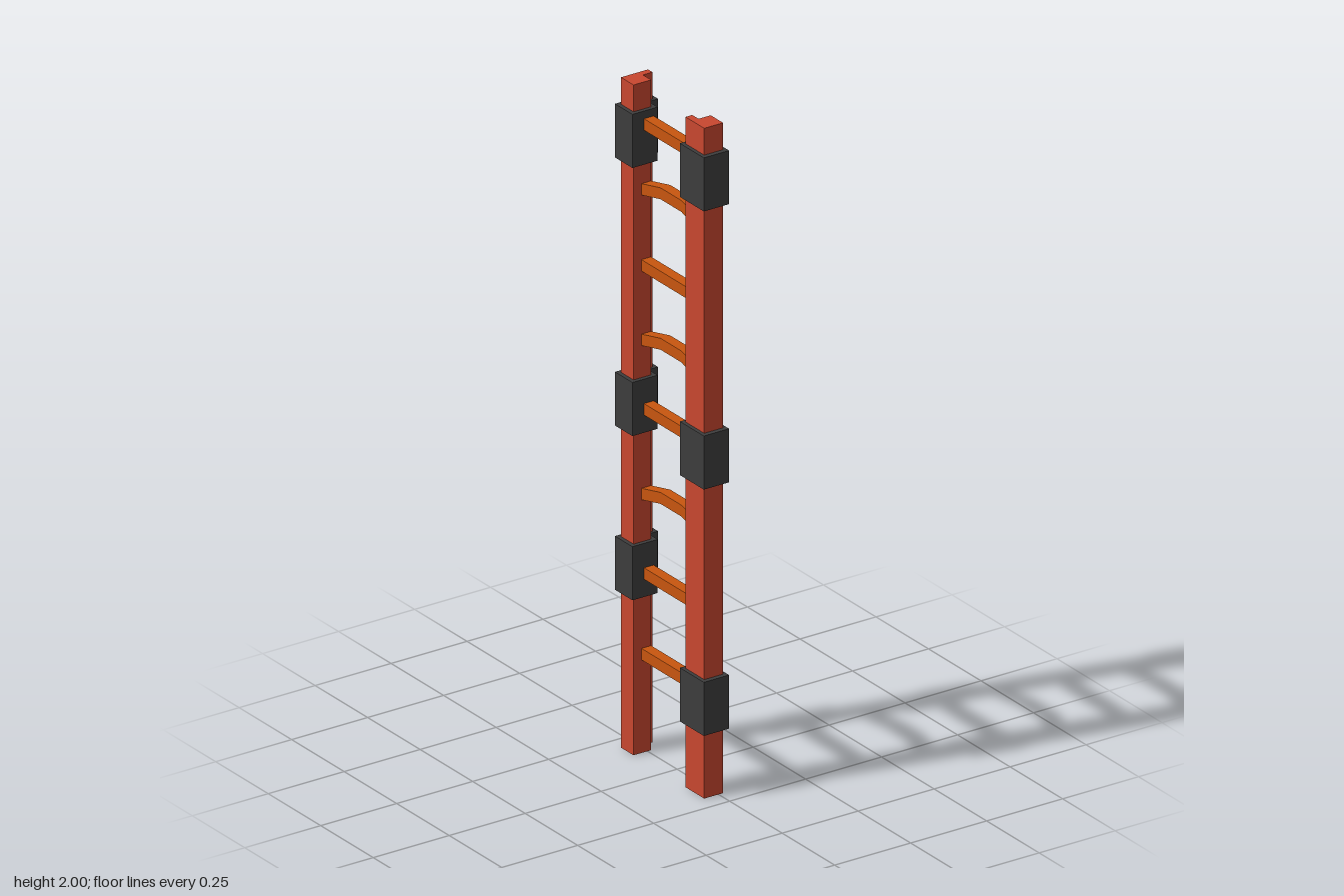
import * as THREE from 'three';

const red = new THREE.MeshStandardMaterial({ color: 0xc8472f });
const orange = new THREE.MeshStandardMaterial({ color: 0xc8560f });
const dark = new THREE.MeshStandardMaterial({ color: 0x3d3d3d });

const shapeOf = (points) => new THREE.Shape(points.map(([a, b]) => new THREE.Vector2(a, b)));

// Upright prism from an [x, z] outline, between two heights
function upright(name, outline, y0, y1, material) {
  const shape = shapeOf(outline.map(([x, z]) => [x, -z]));
  const geo = new THREE.ExtrudeGeometry(shape, { depth: y1 - y0, bevelEnabled: false });
  geo.rotateX(-Math.PI / 2).translate(0, y0, 0);
  const mesh = new THREE.Mesh(geo, material);
  mesh.name = name;
  return mesh;
}

// Square bar along z; its two middle points stand higher by rise
function rung(name, y, rise) {
  const h = 0.017;
  const line = [[-0.16, y], [-0.05, y + rise], [0.05, y + rise], [0.143, y]];
  const outline = [
    ...line.map(([z, c]) => [z, c - h]),
    ...line.map(([z, c]) => [z, c + h]).reverse(),
  ];
  const geo = new THREE.ExtrudeGeometry(shapeOf(outline), { depth: 0.032, bevelEnabled: false });
  geo.rotateY(-Math.PI / 2).translate(0.012, 0, 0);
  const mesh = new THREE.Mesh(geo, orange);
  mesh.name = name;
  return mesh;
}

// L-shaped outlines, as [x, z]
const backRail = [[-0.046, -0.201], [0.043, -0.201], [0.043, -0.18], [0.012, -0.18], [0.012, -0.141], [-0.046, -0.141]];
const backCollar = [[-0.058, -0.212], [0.056, -0.212], [0.056, -0.172], [0.025, -0.172], [0.025, -0.129], [-0.058, -0.129]];
const frontRail = [[-0.047, 0.197], [0.015, 0.197], [0.015, 0.138], [-0.025, 0.138], [-0.025, 0.108], [-0.047, 0.108]];
const frontCollar = [[-0.058, 0.211], [0.025, 0.211], [0.025, 0.127], [-0.017, 0.127], [-0.017, 0.097], [-0.058, 0.097]];

export function createModel() {
  const group = new THREE.Group();
  group.name = 'ladder';

  // Rails
  group.add(upright('frontRail', frontRail, 0, 2, red));
  group.add(upright('backRail', backRail, 0, 2, red));

  // Collars around the rails
  for (const y of [0.275, 1.01, 1.84]) group.add(upright('frontCollar', frontCollar, y - 0.08, y + 0.08, dark));
  for (const y of [0.55, 1.04, 1.84]) group.add(upright('backCollar', backCollar, y - 0.08, y + 0.08, dark));

  // Straight and arched rungs
  for (const y of [0.295, 0.54, 1.03, 1.455, 1.88]) group.add(rung('straightRung', y, 0));
  for (const y of [0.768, 1.228, 1.677]) group.add(rung('archedRung', y, 0.027));

  return group;
}
